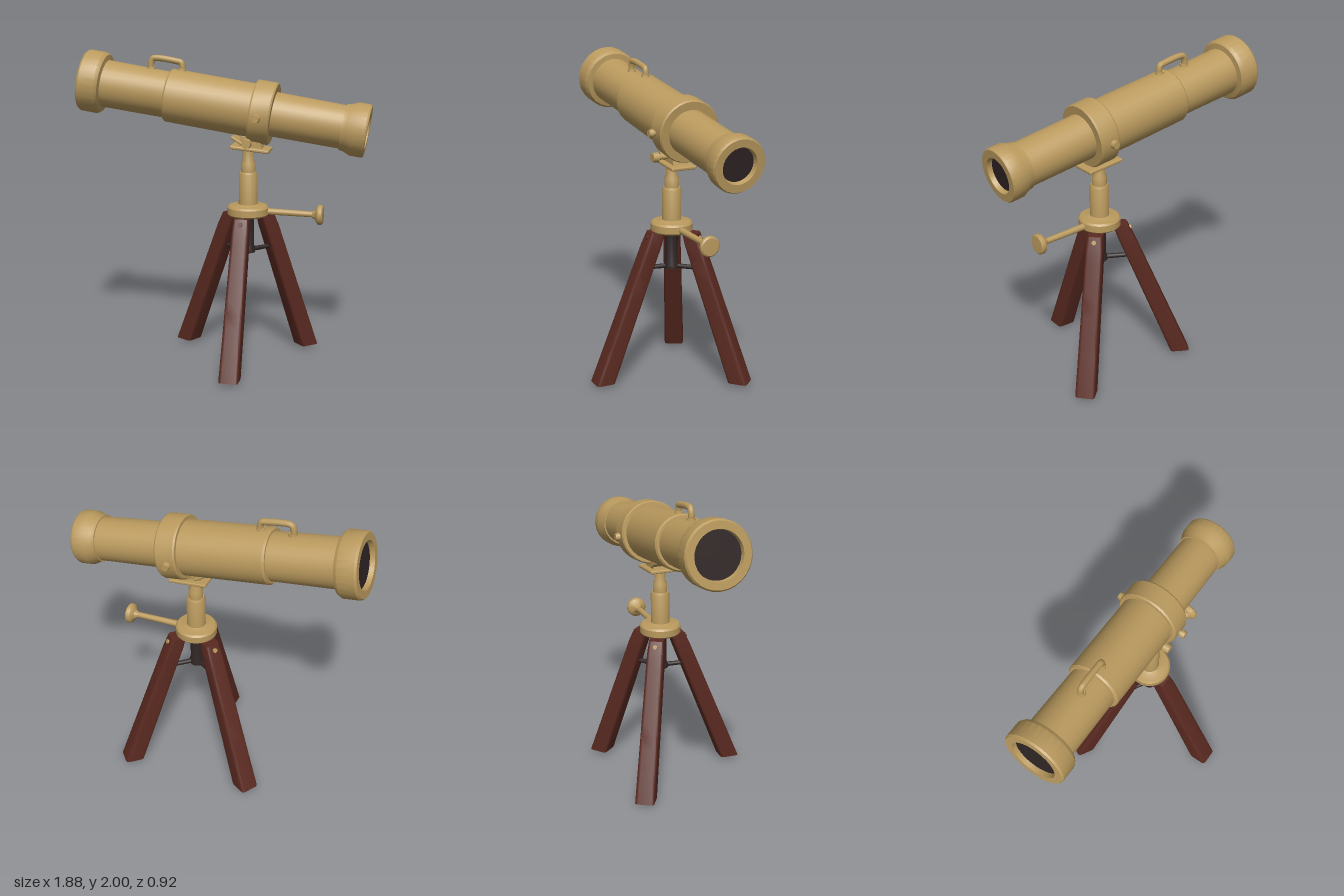
import * as THREE from 'three';
import { toCreasedNormals } from 'three/addons/utils/BufferGeometryUtils.js';
import { RoundedBoxGeometry } from 'three/addons/geometries/RoundedBoxGeometry.js';

const mat = (name, color) => new THREE.MeshStandardMaterial({ name, color });
const V = (x, y, z) => new THREE.Vector3(x, y, z);

export function createModel() {
  const brass = mat('brass', 0xba9a5e);
  const wood = mat('red wood', 0x5a2a21);
  const dark = mat('dark glass and iron', 0x2f2424);

  const model = new THREE.Group();
  model.name = 'telescopeOnTripod';

  const add = (parent, name, geometry, material, pos = [0, 0, 0]) => {
    const mesh = new THREE.Mesh(geometry, material);
    mesh.name = name;
    mesh.position.set(...pos);
    parent.add(mesh);
    return mesh;
  };
  // Turned part from [radius, height] pairs, listed bottom to top
  const turned = (pairs, sides = 28) => toCreasedNormals(
    new THREE.LatheGeometry(pairs.map(p => new THREE.Vector2(...p)), sides), 0.6);
  // Round bar between two points
  const bar = (parent, name, a, b, r0, r1, material) => {
    const dir = b.clone().sub(a);
    const mesh = add(parent, name, new THREE.CylinderGeometry(r1, r0, dir.length(), 14), material);
    mesh.position.copy(a).add(b).multiplyScalar(0.5);
    mesh.quaternion.setFromUnitVectors(V(0, 1, 0), dir.normalize());
    return mesh;
  };

  // Optical tube: local y runs from the objective to the eyepiece
  const tube = new THREE.Group();
  tube.name = 'opticalTube';
  tube.position.set(-0.92, 1.806, -0.127);
  tube.rotation.set(0, -0.008, -Math.PI / 2 - 0.152);
  model.add(tube);
  add(tube, 'objectiveCap', turned([
    [0.14, 0.03], [0.145, 0], [0.19, 0], [0.199, 0.012], [0.199, 0.115], [0.185, 0.137], [0.14, 0.145],
  ]), brass);
  add(tube, 'frontBarrel', turned([[0.152, 0.13], [0.148, 0.57]]), brass);
  add(tube, 'mainBarrel', turned([
    [0.14, 0.56], [0.162, 0.56], [0.171, 0.572], [0.171, 1.25], [0.13, 1.25],
  ]), brass);
  add(tube, 'clampRing', turned([
    [0.165, 1.118], [0.192, 1.118], [0.199, 1.128], [0.199, 1.243], [0.192, 1.253], [0.135, 1.253],
  ]), brass);
  add(tube, 'rearBarrel', turned([[0.141, 1.24], [0.137, 1.73]]), brass);
  add(tube, 'eyepiece', turned([
    [0.13, 1.695], [0.146, 1.695], [0.149, 1.72], [0.168, 1.765], [0.168, 1.838],
    [0.16, 1.85], [0.112, 1.85], [0.104, 1.82],
  ]), brass);
  add(tube, 'objectiveLens', turned([[0, 0.03], [0.142, 0.03]]), dark);
  add(tube, 'eyepieceLens', turned([[0.106, 1.82], [0, 1.82]]), dark);

  // Carrying handle on top of the barrel
  const handlePath = new THREE.CatmullRomCurve3([
    V(-0.472, 1.86, 0), V(-0.474, 1.92, 0), V(-0.462, 1.951, 0), V(-0.43, 1.955, 0),
    V(-0.31, 1.937, 0), V(-0.278, 1.928, 0), V(-0.27, 1.9, 0), V(-0.276, 1.84, 0),
  ]);
  add(model, 'carryHandle', new THREE.TubeGeometry(handlePath, 40, 0.02, 10), brass, [0, 0, -0.115]);
  for (const [x, y] of [[-0.472, 1.884], [-0.275, 1.875]])
    add(model, 'handleFoot', new THREE.CylinderGeometry(0.025, 0.03, 0.03, 14), brass, [x, y, -0.115]);

  // Pivot screws on both sides of the clamp ring
  for (const s of [1, -1]) {
    const z = -0.113;
    bar(model, 'pivotScrew', V(0.238, 1.615, z + s * 0.17), V(0.238, 1.615, z + s * 0.215), 0.017, 0.017, brass);
    bar(model, 'pivotScrewHead', V(0.238, 1.615, z + s * 0.208), V(0.238, 1.615, z + s * 0.234), 0.027, 0.022, brass);
  }

  // Tilt bracket under the ring
  const plate = add(model, 'bracketPlate', new RoundedBoxGeometry(0.25, 0.022, 0.17, 2, 0.008), brass, [0.18, 1.402, -0.09]);
  plate.rotation.z = -0.1;
  const saddleShape = new THREE.Shape([
    [0.1, 1.4], [0.26, 1.39], [0.245, 1.44], [0.22, 1.47], [0.12, 1.48],
  ].map(p => new THREE.Vector2(...p)));
  add(model, 'bracketSaddle', new THREE.ExtrudeGeometry(saddleShape, { depth: 0.1, bevelEnabled: false }), brass, [0, 0, -0.14]);
  const wing = add(model, 'bracketWing', new RoundedBoxGeometry(0.1, 0.018, 0.12, 2, 0.007), brass, [0.1, 1.45, -0.09]);
  wing.rotation.z = -0.55;
  bar(model, 'tiltScrew', V(0.17, 1.448, -0.08), V(0.17, 1.448, 0.04), 0.018, 0.018, brass);
  bar(model, 'tiltScrewHead', V(0.17, 1.448, 0.025), V(0.17, 1.448, 0.062), 0.032, 0.028, brass);

  // Centre post and hub
  const cx = 0.163, cz = -0.078;
  add(model, 'centrePost', turned([
    [0.06, 1.0], [0.06, 1.235], [0.053, 1.25], [0.046, 1.25], [0.046, 1.305], [0.036, 1.325], [0.036, 1.41],
  ], 20), brass, [cx, 0, cz]);
  add(model, 'hub', turned([
    [0, 0.968], [0.122, 0.968], [0.132, 0.978], [0.132, 1.02], [0.122, 1.032], [0.075, 1.036], [0.055, 1.045],
  ]), brass, [cx, 0, cz]);

  // Side handle with a round knob
  bar(model, 'steeringRod', V(0.27, 0.997, -0.082), V(0.6, 0.988, -0.085), 0.021, 0.018, brass);
  const knob = add(model, 'steeringKnob', turned([
    [0.018, 0], [0.03, 0.022], [0.058, 0.036], [0.064, 0.045], [0.064, 0.064], [0.055, 0.072], [0, 0.074],
  ], 20), brass, [0.572, 0.987, -0.085]);
  knob.rotation.z = -Math.PI / 2;

  // Splayed legs: rounded square section, tapered and sheared from foot to top
  const section = new THREE.Shape();
  const h = 0.062, c = 0.022;
  section.moveTo(-h + c, -h).lineTo(h - c, -h);
  section.quadraticCurveTo(h, -h, h, -h + c).lineTo(h, h - c);
  section.quadraticCurveTo(h, h, h - c, h).lineTo(-h + c, h);
  section.quadraticCurveTo(-h, h, -h, h - c).lineTo(-h, -h + c);
  section.quadraticCurveTo(-h, -h, -h + c, -h);

  const legs = [
    ['front', V(0.135, 0.02, 0.393), V(0.142, 0.97, 0.02)],
    ['right', V(-0.29, 0.02, -0.345), V(0.05, 0.97, -0.14)],
    ['left', V(0.512, 0.02, -0.388), V(0.258, 0.97, -0.165)],
  ];
  const pivot = V(cx, 0.74, cz);
  for (const [side, foot, top] of legs) {
    const out = Math.atan2(foot.x - top.x, foot.z - top.z);
    const geo = new THREE.ExtrudeGeometry(section, { depth: 1, steps: 12, bevelEnabled: false, curveSegments: 4 });
    const p = geo.attributes.position;
    for (let i = 0; i < p.count; i++) {
      const t = p.getZ(i);
      const k = (1 - 0.16 * t) * (t > 0.95 ? 0.9 : 1);
      const q = V(p.getX(i) * k, 0, -p.getY(i) * k).applyAxisAngle(V(0, 1, 0), out);
      q.add(foot.clone().lerp(top, t));
      p.setXYZ(i, q.x, q.y, q.z);
    }
    add(model, side + 'Leg', toCreasedNormals(geo, 0.7), wood);
    add(model, side + 'FootTip', new THREE.CylinderGeometry(0.022, 0.018, 0.03, 10), brass, [foot.x, 0.015, foot.z]);

    // Hinge bolt on the outer face near the top
    const o = V(Math.sin(out), 0.35, Math.cos(out)).normalize();
    const b = foot.clone().lerp(top, 0.95);
    bar(model, side + 'HingeBolt', b, b.clone().addScaledVector(o, 0.056), 0.016, 0.014, side === 'front' ? wood : brass);

    // Spreader arm from the centre to the leg
    bar(model, side + 'SpreaderArm', pivot, foot.clone().lerp(top, 0.76), 0.016, 0.013, dark);
  }
  add(model, 'spreaderColumn', turned([
    [0, 0.725], [0.048, 0.725], [0.048, 0.75], [0.04, 0.77], [0.04, 0.97],
  ], 16), dark, [cx, 0, cz]);

  return model;
}
